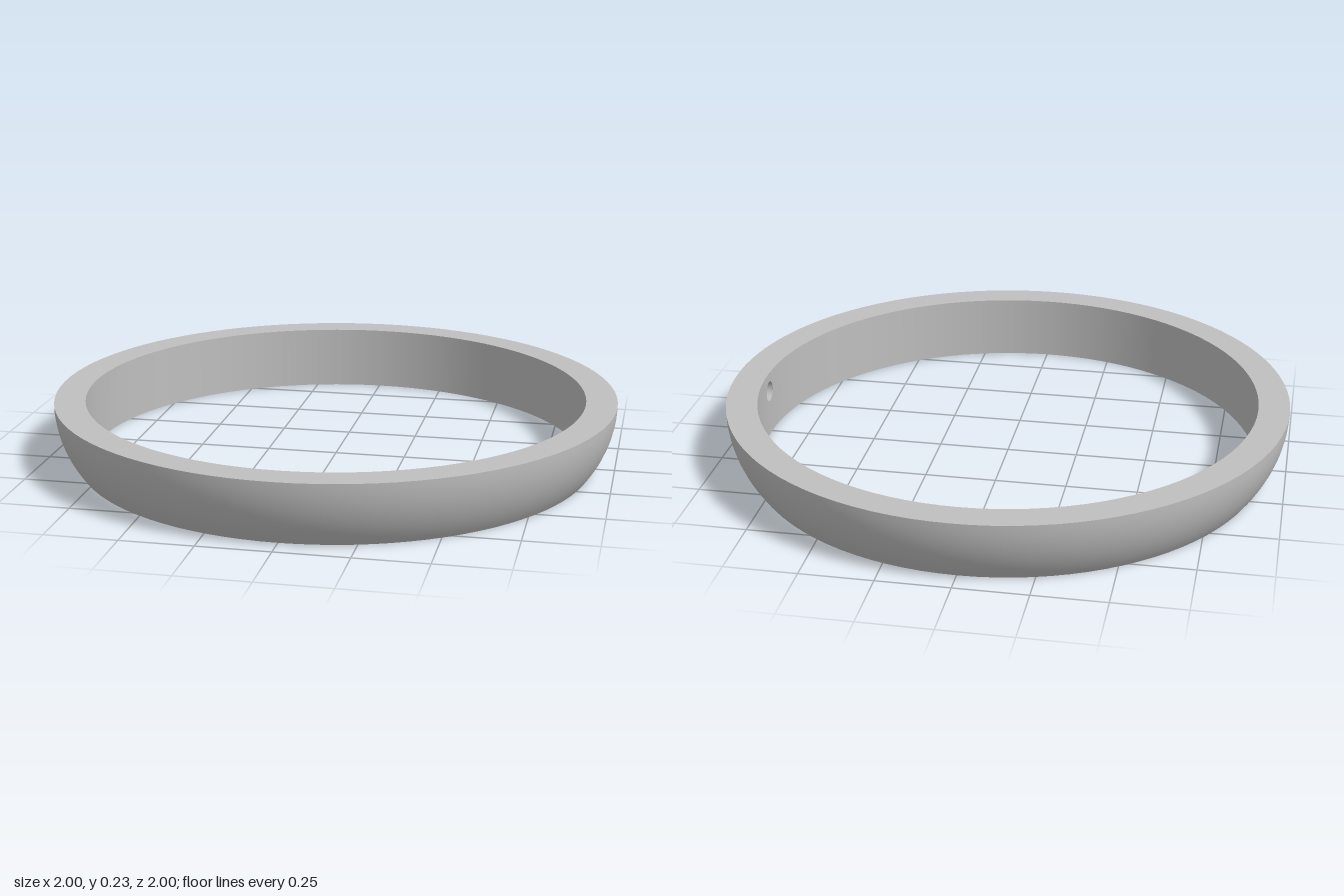
import * as THREE from 'three';

const SEG = 96, HEIGHT = 0.23, INNER = 0.89, OUTER = 1, FOOT = 0.92;
const HOLE_Y = 0.16, HOLE_R = 0.037, HOLE_DEPTH = 0.06;

export function createModel() {
  const group = new THREE.Group();
  const grey = new THREE.MeshStandardMaterial({ color: 0xbfbfbf });
  grey.name = 'plain grey';

  const add = (name, geometry, parent = group) => {
    const mesh = new THREE.Mesh(geometry, grey);
    mesh.name = name;
    parent.add(mesh);
    return mesh;
  };
  const lathe = (points, segments = SEG, start = 0, length = Math.PI * 2) =>
    new THREE.LatheGeometry(points.map(p => new THREE.Vector2(...p)), segments, start, length);

  // Outer wall: circular arc, vertical at the top edge and tucked in at the foot
  const dx = OUTER - FOOT;
  const R = (HEIGHT * HEIGHT + dx * dx) / (2 * dx);
  const sweep = Math.asin(HEIGHT / R);
  const arc = [];
  for (let i = 0; i <= 12; i++) {
    const a = -sweep * (1 - i / 12);
    arc.push([OUTER - R + R * Math.cos(a), HEIGHT + R * Math.sin(a)]);
  }
  add('outerWall', lathe(arc));

  // Flat rim and foot
  add('topRim', lathe([[OUTER, HEIGHT], [INNER, HEIGHT]]));
  add('bottomRim', lathe([[INNER, 0], [FOOT, 0]]));

  // Inner wall, leaving a two-segment gap on the +x side
  const half = (Math.PI * 2) / SEG;
  add('innerWall', lathe([[INNER, HEIGHT], [INNER, 0]], SEG - 2,
    Math.PI / 2 + half, Math.PI * 2 - 2 * half));

  // Wall panel with a round opening, wrapped onto the inner radius
  const w = INNER * half;
  const panel = new THREE.Shape();
  panel.moveTo(-w, 0).lineTo(w, 0).lineTo(w, HEIGHT).lineTo(-w, HEIGHT);
  panel.holes.push(new THREE.Path().absarc(0, HOLE_Y, HOLE_R, 0, Math.PI * 2, true));
  const wrapped = new THREE.ShapeGeometry(panel, 32);
  const pos = wrapped.attributes.position, nor = wrapped.attributes.normal;
  for (let i = 0; i < pos.count; i++) {
    const a = pos.getX(i) / INNER;
    pos.setXYZ(i, INNER * Math.cos(a), pos.getY(i), INNER * Math.sin(a));
    nor.setXYZ(i, -Math.cos(a), 0, -Math.sin(a));
  }
  add('innerWallPanel', wrapped);

  // Blind hole behind the opening
  const hole = new THREE.Group();
  hole.name = 'blindHole';
  add('holeWall', lathe([[HOLE_R, HOLE_DEPTH], [HOLE_R, 0]], 32), hole);
  add('holeFloor', lathe([[HOLE_R, 0], [0, 0]], 32), hole);
  hole.rotation.z = Math.PI / 2;
  hole.position.set(INNER + HOLE_DEPTH, HOLE_Y, 0);
  group.add(hole);

  return group;
}
